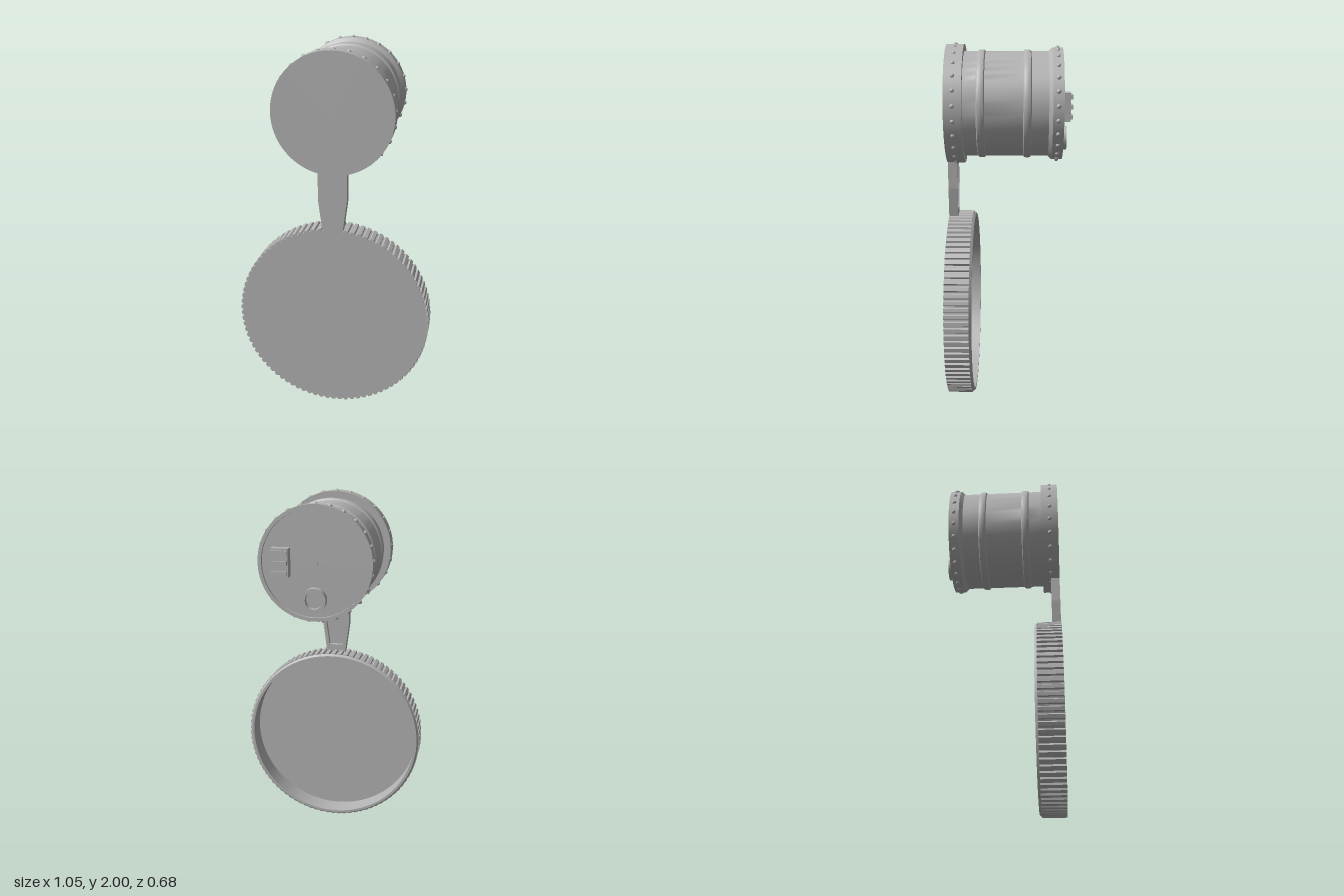
import * as THREE from 'three';
import { toCreasedNormals } from 'three/addons/utils/BufferGeometryUtils.js';

const BARREL_Y = 1.67, LID_Y = 0.526;
const grey = new THREE.MeshStandardMaterial({ color: 0xb4b4b4 });
grey.name = 'plain grey';

function add(parent, name, geometry, x = 0, y = 0, z = 0) {
  const mesh = new THREE.Mesh(geometry, grey);
  mesh.name = name;
  mesh.position.set(x, y, z);
  parent.add(mesh);
  return mesh;
}

// Turned profile of [radius, z] pairs, listed from back to front, around the z axis
function turned(profile, segments = 72) {
  const points = profile.map(([r, z]) => new THREE.Vector2(r, z));
  const geometry = new THREE.LatheGeometry(points, segments).rotateX(Math.PI / 2);
  return toCreasedNormals(geometry, 0.5);
}

function extruded(shape, depth) {
  return new THREE.ExtrudeGeometry(shape, { depth, bevelEnabled: false, curveSegments: 72 });
}

const toPoints = (pairs) => pairs.map(([x, y]) => new THREE.Vector2(x, y));

// Rounded hoop around the barrel, as profile points
function hoop(z) {
  return [[0.283, z - 0.022], [0.29, z - 0.017], [0.293, z - 0.008],
    [0.293, z + 0.008], [0.29, z + 0.017], [0.283, z + 0.022]];
}

function rivetRing(parent, name, radius, z) {
  const ring = new THREE.Group();
  ring.name = name;
  const rivet = new THREE.SphereGeometry(0.0125, 12, 8);
  for (let i = 0; i < 25; i++) {
    const a = (i / 25) * Math.PI * 2;
    add(ring, 'rivet', rivet, Math.sin(a) * radius, Math.cos(a) * radius, z);
  }
  parent.add(ring);
}

function makeBarrel() {
  const barrel = new THREE.Group();
  barrel.name = 'barrel';
  barrel.position.y = BARREL_Y;

  // Body with recessed back, rear flange, two hoops and front flange
  add(barrel, 'barrelBody', turned([
    [0, -0.275], [0.284, -0.275], [0.284, -0.29], [0.303, -0.29], [0.303, -0.232], [0.283, -0.212],
    ...hoop(-0.1), ...hoop(0.147),
    [0.283, 0.24], [0.322, 0.24], [0.322, 0.335], [0, 0.335],
  ]));
  rivetRing(barrel, 'frontRivets', 0.318, 0.288);
  rivetRing(barrel, 'rearRivets', 0.301, -0.261);

  // Fittings on the back plate
  add(barrel, 'drainRing', turned([
    [0, -0.285], [0.046, -0.285], [0.046, -0.317], [0.064, -0.317], [0.064, -0.27],
  ], 40), 0, -0.187, 0);
  add(barrel, 'centreStud', turned([[0, -0.284], [0.015, -0.284], [0.015, -0.27]], 20));
  add(barrel, 'latchBlock', new THREE.BoxGeometry(0.094, 0.15, 0.056), 0.178, 0.005, -0.299);
  for (const y of [-0.048, 0.005, 0.058]) {
    add(barrel, 'latchBar', new THREE.BoxGeometry(0.084, 0.022, 0.014), 0.178, y, -0.333);
  }
  return barrel;
}

function makeLid() {
  const lid = new THREE.Group();
  lid.name = 'lid';
  lid.position.y = LID_Y;

  // Ribbed wall
  const teeth = 90, outline = [];
  for (let i = 0; i < teeth; i++) {
    [[0, 0.516], [0.22, 0.516], [0.36, 0.526], [0.86, 0.526]].forEach(([t, r]) => {
      const a = ((i + t - 0.61) / teeth) * Math.PI * 2 + Math.PI / 2;
      outline.push(new THREE.Vector2(Math.cos(a) * r, Math.sin(a) * r));
    });
  }
  const wall = new THREE.Shape(outline);
  wall.holes.push(new THREE.Path().absarc(0, 0, 0.498, 0, Math.PI * 2, true));
  add(lid, 'ribbedWall', extruded(wall, 0.132), 0, 0, 0.203);

  // Chamfered lip and closed face
  add(lid, 'lip', turned([[0.498, 0.205], [0.498, 0.19], [0.512, 0.19], [0.522, 0.203]], 90));
  add(lid, 'lidFace', turned([[0, 0.31], [0.505, 0.31], [0.505, 0.335], [0, 0.335]], 90));
  return lid;
}

function makeStrap() {
  const strap = new THREE.Group();
  strap.name = 'strap';
  const outer = [[-0.055, 1.04], [0.055, 1.04], [0.077, 1.21], [0.077, 1.37], [-0.077, 1.37], [-0.077, 1.21]];
  const inner = [[-0.04, 1.085], [-0.058, 1.21], [-0.058, 1.335], [0.058, 1.335], [0.058, 1.21], [0.04, 1.085]];

  // Flat web in front, raised border behind it
  add(strap, 'strapWeb', extruded(new THREE.Shape(toPoints(outer)), 0.022), 0, 0, 0.313);
  const border = new THREE.Shape(toPoints(outer));
  border.holes.push(new THREE.Path(toPoints(inner)));
  add(strap, 'strapBorder', extruded(border, 0.028), 0, 0, 0.285);
  return strap;
}

export function createModel() {
  const model = new THREE.Group();
  model.name = 'barrelWithTetheredLid';
  model.add(makeBarrel(), makeLid(), makeStrap());
  return model;
}
